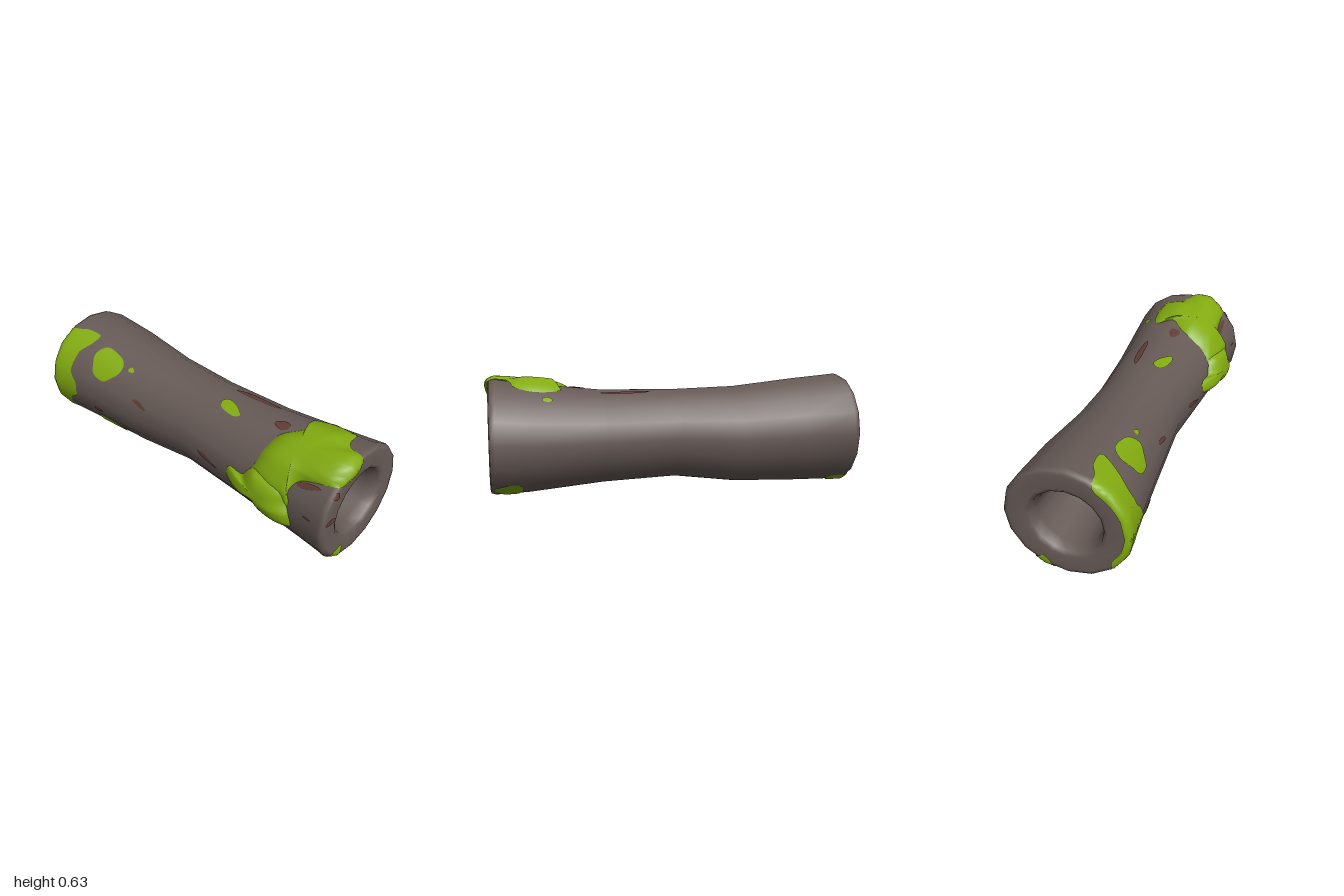
import * as THREE from 'three';

const SIDES = 16;
const RAD = Math.PI / 180;

// Shell rows: [u, x, centre y, centre z, radius y, radius z]
const outer = [
  [-0.97, -0.97, 0.313, -0.018, 0.31, 0.327],
  [-0.7, -0.7, 0.304, -0.027, 0.296, 0.308],
  [-0.35, -0.35, 0.29, -0.025, 0.272, 0.272],
  [0, 0, 0.307, -0.025, 0.245, 0.25],
  [0.4, 0.4, 0.302, -0.022, 0.255, 0.278],
  [0.8, 0.8, 0.304, -0.025, 0.294, 0.31],
  [0.97, 0.97, 0.313, -0.018, 0.31, 0.327],
];
// Rolled rim, end face and blind hole: [u, x, radius factor]
const rim = [
  [1.0, 0.995, 0.975], [1.03, 1, 0.91], [1.12, 1, 0.65], [1.15, 0.985, 0.58], [1.2, 0.93, 0.53],
  [1.4, 0.7, 0.49], [1.5, 0.57, 0.4], [1.55, 0.51, 0.22], [1.6, 0.49, 0],
];
const endRow = (s) => ([u, x, f]) => [s * u, s * x, 0.313, -0.018, 0.31 * f, 0.327 * f];
const rows = [...rim.map(endRow(-1)).reverse(), ...outer, ...rim.map(endRow(1))];

// Point on the faceted shell; u runs along it, a (degrees) turns from front to top
function surface(u, a) {
  u = THREE.MathUtils.clamp(u, -1.6, 1.6);
  let i = 0;
  while (i < rows.length - 2 && u > rows[i + 1][0]) i++;
  const t = (u - rows[i][0]) / (rows[i + 1][0] - rows[i][0]);
  const [, x, cy, cz, ry, rz] = rows[i].map((v, k) => THREE.MathUtils.lerp(v, rows[i + 1][k], t));
  const step = 360 / SIDES, k = Math.floor(a / step), w = a / step - k;
  const a0 = k * step * RAD, a1 = (k + 1) * step * RAD;
  const s = THREE.MathUtils.lerp(Math.sin(a0), Math.sin(a1), w);
  const c = THREE.MathUtils.lerp(Math.cos(a0), Math.cos(a1), w);
  return new THREE.Vector3(x, cy + ry * s, cz + rz * c);
}

function surfaceNormal(u, a) {
  const e = 0.025;
  const du = surface(u + e, a).sub(surface(u - e, a));
  const da = surface(u, a + 11).sub(surface(u, a - 11));
  return du.cross(da).normalize();
}

function buildGeometry(points, index) {
  const g = new THREE.BufferGeometry().setFromPoints(points);
  g.setIndex(index);
  g.computeVertexNormals();
  return g;
}

function shellGeometry() {
  const points = [], index = [];
  rows.forEach((r, i) => {
    for (let j = 0; j < SIDES; j++) {
      points.push(surface(r[0], j * 360 / SIDES));
      if (i === rows.length - 1) continue;
      const a = i * SIDES + j, b = i * SIDES + (j + 1) % SIDES;
      index.push(a, a + SIDES, b + SIDES, a, b + SIDES, b);
    }
  });
  return buildGeometry(points, index);
}

// Patch filled from its centre to a smooth outline, laid on the shell
function patchGeometry(centre, outline, height = 0) {
  const curve = new THREE.CatmullRomCurve3(
    outline.map(([u, a]) => new THREE.Vector3(u, a / 100, 0)), true, 'centripetal');
  let edge = curve.getPoints(outline.length * 4).slice(0, -1);
  if (THREE.ShapeUtils.area(edge) < 0) edge.reverse();
  const n = edge.length, rings = height ? 12 : 9;
  const points = [], normals = [], index = [];
  for (let r = 0; r <= rings; r++) {
    const t = r / rings;
    for (let j = 0; j < n; j++) {
      const u = THREE.MathUtils.lerp(centre[0], edge[j].x, t);
      const a = THREE.MathUtils.lerp(centre[1], edge[j].y * 100, t);
      const normal = surfaceNormal(u, a);
      points.push(surface(u, a).addScaledVector(normal, 0.005 + height * (1 - t * t * t)));
      normals.push(normal);
      if (r === rings) continue;
      const p = r * n + j, q = r * n + (j + 1) % n;
      index.push(p, p + n, q + n);
      if (r) index.push(p, q + n, q);
    }
  }
  const g = buildGeometry(points, index);
  if (!height) normals.forEach((v, i) => g.attributes.normal.setXYZ(i, v.x, v.y, v.z));
  return g;
}

// Slightly wobbly oval outline; tilt is the change of angle along its length
function oval(u, a, ru, ra, tilt = 0) {
  const pts = [];
  for (let i = 0; i < 9; i++) {
    const t = i / 9 * Math.PI * 2, w = 1 + 0.1 * Math.sin(3 * t + u * 9);
    pts.push([u + ru * w * Math.cos(t), a + ra * w * Math.sin(t) + tilt * Math.cos(t)]);
  }
  return pts;
}

export function createModel() {
  const group = new THREE.Group();
  const material = (name, color) => {
    const m = new THREE.MeshStandardMaterial({ color });
    m.name = name;
    return m;
  };
  const bark = material('bark', 0x675b57);
  const moss = material('moss', 0x83ac10);
  const rust = material('rust', 0x633f37);
  bark.side = moss.side = rust.side = THREE.DoubleSide;
  const add = (name, geometry, mat) => {
    const m = new THREE.Mesh(geometry, mat);
    m.name = name;
    group.add(m);
  };

  add('hollowLog', shellGeometry(), bark);

  // Thick moss clump: cap over the top and a drip with a tongue on the front
  add('mossClumpTop', patchGeometry([0.72, 60], [
    [1.06, 62], [1.08, 72], [1.03, 84], [0.93, 87], [0.89, 95], [0.86, 113], [0.75, 117], [0.64, 113],
    [0.62, 108], [0.66, 92], [0.57, 73], [0.54, 55], [0.53, 38], [0.52, 22], [0.6, 5], [0.77, 8],
    [0.76, 25], [0.8, 38], [0.9, 44], [1.0, 49]], 0.04), moss);
  add('mossClumpDrip', patchGeometry([0.62, 5], [
    [0.5, 22], [0.55, 30], [0.75, 24], [0.77, 10], [0.8, -4], [0.79, -18], [0.7, -22], [0.6, -16],
    [0.56, -7], [0.5, -6], [0.4, -7], [0.36, 2], [0.38, 13], [0.46, 12]], 0.055), moss);

  // Moss band on the far rim
  add('mossBand', patchGeometry([-0.92, 20], [
    [-1.02, 62], [-0.94, 66], [-0.88, 71], [-0.79, 71], [-0.8, 58], [-0.84, 45], [-0.85, 18], [-0.81, 8],
    [-0.81, -8], [-0.87, -17], [-0.87, -31], [-0.91, -41], [-1.02, -42], [-1.03, -10], [-1.03, 30]]), moss);

  // Flat moss spots: [u, angle, half length, half angle]
  [
    [-0.63, 46, 0.105, 19], [-0.465, 54, 0.02, 3], [-0.59, -39, 0.1, 18], [0.21, 73, 0.075, 8, -4],
    [0.7, -31, 0.027, 4], [0.51, -16, 0.015, 2], [0.55, -21, 0.015, 2], [0.7, 128, 0.027, 4],
    [0.99, -56, 0.085, 10], [0.9, -124, 0.075, 12], [-0.96, -113, 0.09, 12],
  ].forEach((s) => add('mossSpot', patchGeometry(s, oval(...s)), moss));

  // Rust streaks: [u, angle, half length, half angle, tilt]
  [
    [-0.32, 22, 0.05, 3, -3], [-0.64, -14, 0.035, 3], [-0.45, -29, 0.055, 1.5], [0.21, 1, 0.075, 3, -4],
    [0.27, 107, 0.14, 4, 2], [0.53, 82, 0.045, 6], [0.85, 37, 0.07, 3, 3], [0.9, 9, 0.025, 1],
    [1.065, 11, 0.045, 4], [1.02, 41, 0.03, 4],
  ].forEach((s) => add('rustStreak', patchGeometry(s, oval(...s)), rust));

  // Rust across half of the hole floor
  add('holeRust', patchGeometry([1.53, 180], [
    [1.6, 92], [1.53, 88], [1.47, 95], [1.44, 120], [1.46, 150], [1.43, 180], [1.45, 215], [1.44, 245],
    [1.47, 266], [1.53, 270], [1.6, 268], [1.6, 180]]), rust);

  return group;
}
